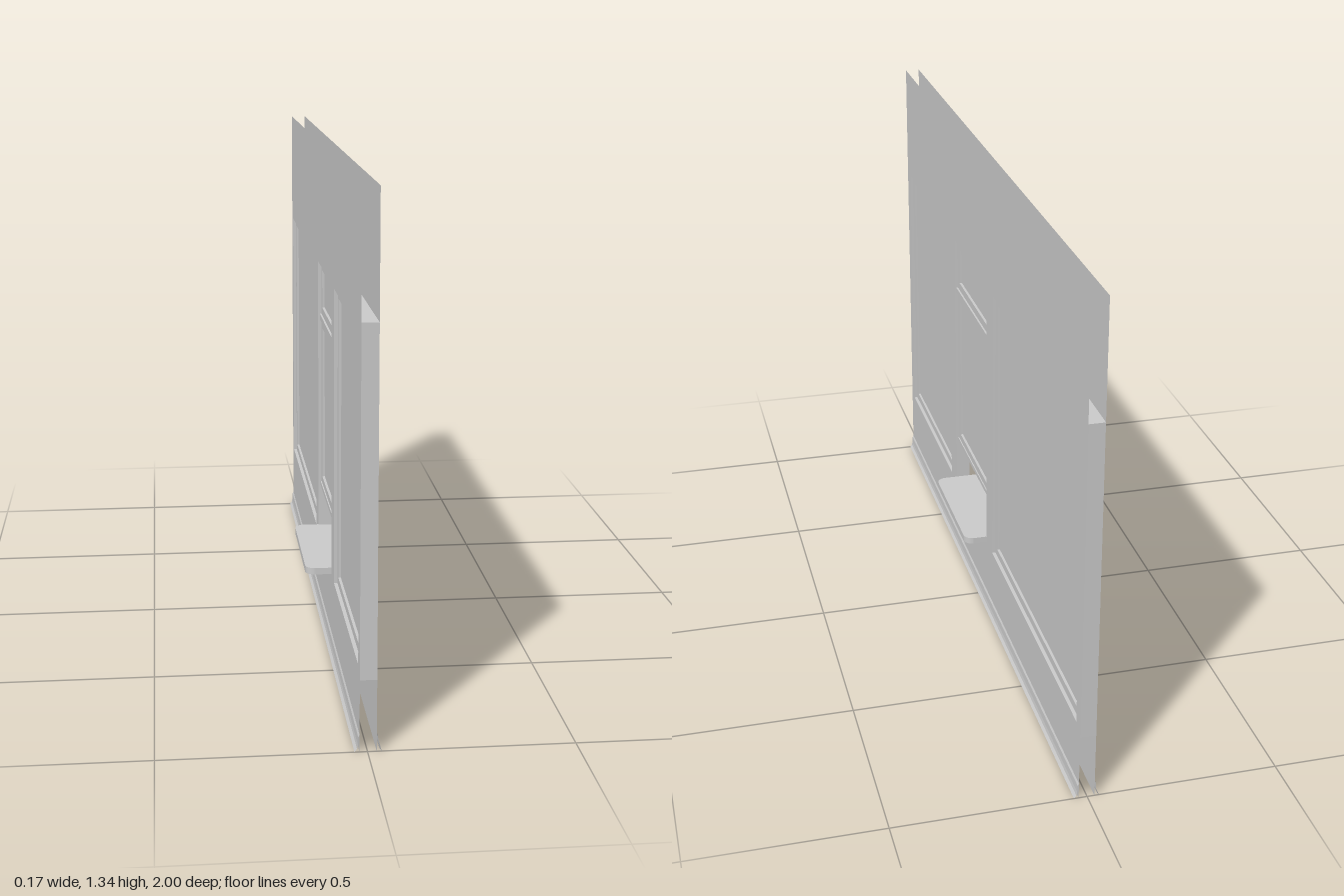
import * as THREE from 'three';

const X0 = -0.019, X1 = 0.022, MID = (X0 + X1) / 2;
const grey = new THREE.MeshStandardMaterial({ color: 0xcccccc, side: THREE.DoubleSide, flatShading: true });

// rectangle outline in the wall plane, given as z and y ranges
function rect(Type, z0, z1, y0, y1) {
  return new Type([[-z1, y0], [-z0, y0], [-z0, y1], [-z1, y1]].map(([a, b]) => new THREE.Vector2(a, b)));
}

// extrude a wall-plane shape through the wall, from xa to xb
function slab(shape, xa, xb) {
  const g = new THREE.ExtrudeGeometry(shape, { depth: xb - xa, bevelEnabled: false });
  return g.rotateY(Math.PI / 2).translate(xa, 0, 0);
}

export function createModel() {
  const group = new THREE.Group();
  const add = (name, geometry, parent = group) => {
    const mesh = new THREE.Mesh(geometry, grey);
    mesh.name = name;
    parent.add(mesh);
    return mesh;
  };
  const box = (xa, xb, y0, y1, z0, z1) => new THREE.BoxGeometry(xb - xa, y1 - y0, z1 - z0)
    .translate((xa + xb) / 2, (y0 + y1) / 2, (z0 + z1) / 2);

  // solid middle band with three openings
  const wall = rect(THREE.Shape, -1, 1, 0.18, 1.03);
  const openings = [[0.395, 0.965], [-0.055, 0.33], [-0.965, -0.123]];
  openings.forEach(([z0, z1]) => wall.holes.push(rect(THREE.Path, z0, z1, 0.205, 1)));
  add('wallCore', slab(wall, X0, X1));

  // thin wall skins above and below the band
  for (const x of [X0, X1]) {
    for (const [name, y0, y1] of [['upperSkin', 1.03, 1.335], ['lowerSkin', 0, 0.18]]) {
      const g = new THREE.PlaneGeometry(2, y1 - y0).rotateY(x === X1 ? Math.PI / 2 : -Math.PI / 2);
      add(name, g.translate(x, (y0 + y1) / 2, 0));
    }
  }

  // flared baseboards, open strips running the length of the wall
  const profile = [[0, 0.043], [0.003, 0.037], [0.004, 0.018], [0.006, 0.008], [0.012, 0]];
  for (const side of [-1, 1]) {
    const pos = [], index = [];
    profile.forEach(([out, y], i) => {
      const x = side > 0 ? X1 + out : X0 - out;
      pos.push(x, y, 1, x, y, -1);
      if (i > 0) {
        const a = 2 * i - 2;
        index.push(...(side > 0 ? [a, a + 2, a + 1, a + 1, a + 2, a + 3] : [a, a + 1, a + 2, a + 1, a + 3, a + 2]));
      }
    });
    const g = new THREE.BufferGeometry();
    g.setAttribute('position', new THREE.Float32BufferAttribute(pos, 3));
    g.setIndex(index);
    g.computeVertexNormals();
    add('baseboard', g);
  }

  // window: a sash frame around a thinner pane
  function window(name, z0, z1, y0, y1) {
    const sash = new THREE.Group();
    sash.name = name;
    group.add(sash);
    const b = 0.022;
    const frame = rect(THREE.Shape, z0, z1, y0, y1);
    frame.holes.push(rect(THREE.Path, z0 + b, z1 - b, y0 + b, y1 - b));
    add('sashFrame', slab(frame, MID - 0.011, MID + 0.011), sash);
    add('pane', box(MID - 0.004, MID + 0.004, y0 + b, y1 - b, z0 + b, z1 - b), sash);
  }
  window('frontWindow', ...openings[0], 0.205, 1);
  window('rearWindow', ...openings[2], 0.205, 1);
  window('hatchTopWindow', ...openings[1], 0.85, 1);
  window('hatchSash', ...openings[1], 0.355, 0.835);

  // rails across the serving hatch
  add('hatchDivider', box(MID - 0.016, MID + 0.016, 0.835, 0.85, ...openings[1]));
  add('hatchBottomRail', box(MID - 0.014, MID + 0.014, 0.345, 0.357, ...openings[1]));

  // counter shelf with rounded corners passing through the hatch
  const w = 0.087, d = 0.193, r = 0.026;
  const shelf = new THREE.Shape();
  shelf.absarc(w - r, d - r, r, 0, Math.PI / 2);
  shelf.absarc(r - w, d - r, r, Math.PI / 2, Math.PI);
  shelf.absarc(r - w, r - d, r, Math.PI, Math.PI * 1.5);
  shelf.absarc(w - r, r - d, r, Math.PI * 1.5, Math.PI * 2);
  const shelfGeo = new THREE.ExtrudeGeometry(shelf, { depth: 0.018, bevelEnabled: false, curveSegments: 5 });
  add('counterShelf', shelfGeo.rotateX(-Math.PI / 2).translate(-0.001, 0.206, 0.133));

  return group;
}
